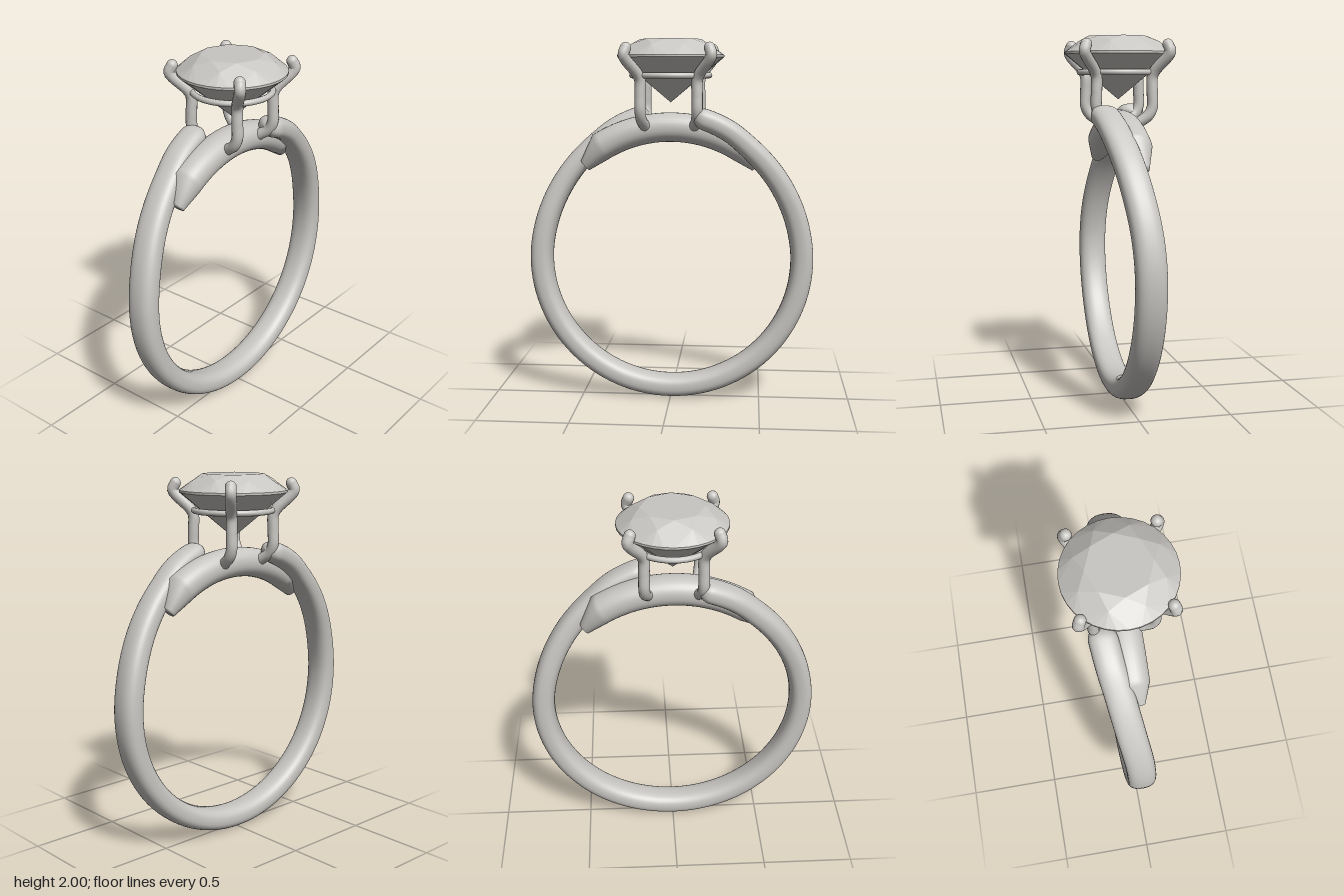
import * as THREE from 'three';

const silver = new THREE.MeshStandardMaterial({ color: 0xc8c6c2 });
silver.name = 'silver';

const CENTRE_Y = 0.79;
const RADIUS = 0.7275;

function addMesh(group, geometry, name) {
  const mesh = new THREE.Mesh(geometry, silver);
  mesh.name = name;
  group.add(mesh);
  return mesh;
}

// Skin of rounded sections placed around the finger hole.
// Each section: angle in degrees from the top, radius, z, half height, half width.
function sweep(sections, power, sides = 32) {
  const positions = [];
  const index = [];
  const soft = (v) => Math.sign(v) * Math.pow(Math.abs(v), 2 / power);
  sections.forEach(({ angle, radius, z, high, wide }, i) => {
    const t = THREE.MathUtils.degToRad(angle);
    for (let j = 0; j < sides; j++) {
      const p = (j / sides) * Math.PI * 2;
      const r = radius + high * soft(Math.cos(p));
      positions.push(Math.sin(t) * r, CENTRE_Y + Math.cos(t) * r, z + wide * soft(Math.sin(p)));
      if (i < sections.length - 1) {
        const a = i * sides + j;
        const b = i * sides + ((j + 1) % sides);
        index.push(a, b, a + sides, b, b + sides, a + sides);
      }
    }
  });
  const geometry = new THREE.BufferGeometry();
  geometry.setAttribute('position', new THREE.Float32BufferAttribute(positions, 3));
  geometry.setIndex(index);
  geometry.computeVertexNormals();
  return geometry;
}

// Open band whose two ends rise and pass each other to the front and back
function bandGeometry() {
  // angle, lift off the circle, z
  const half = [
    [9, 0.085, 0.12], [24, 0.062, 0.098], [35, 0.035, 0.075], [55, 0.01, 0.04],
    [73, 0, 0.012], [90, 0, 0], [135, 0, 0],
  ];
  const keys = [
    ...half,
    [180, 0, 0],
    ...half.map(([a, lift, z]) => [360 - a, lift, -z]).reverse(),
  ];
  const curve = new THREE.CatmullRomCurve3(keys.map((k) => new THREE.Vector3(...k)));
  const sections = [];
  const steps = 196;
  for (let i = 0; i <= steps; i++) {
    const p = curve.getPoint(i / steps);
    const fromEnd = Math.max(0, Math.min(p.x - 9, 351 - p.x));
    const k = 1 - Math.min(1, fromEnd / 5);
    const round = Math.sqrt(Math.max(0, 1 - k * k)) + 0.001;
    sections.push({
      angle: p.x,
      radius: RADIUS + p.y,
      z: p.z,
      high: (0.0625 - 0.06 * p.y) * round,
      wide: (0.08 - 0.05 * p.y) * round,
    });
  }
  return sweep(sections, 2.5);
}

// Arched bridge under the setting, narrowing into the band at both ends
function bridgeGeometry() {
  const sections = [];
  const tip = (side, scale) => ({
    angle: side * 42, radius: 0.705, z: -side * 0.02, high: 0.035 * scale, wide: 0.035 * scale,
  });
  sections.push(tip(-1, 0.01), tip(-1, 1));
  for (let a = -32; a <= 32; a += 2) {
    sections.push({ angle: a, radius: 0.735, z: 0, high: 0.08, wide: 0.09 });
  }
  sections.push(tip(1, 1), tip(1, 0.01));
  return sweep(sections, 2.2);
}

// Round brilliant cut with flat facets
function gemGeometry() {
  const positions = [];
  const tri = (...points) => points.forEach((p) => positions.push(p.x, p.y, p.z));
  const at = (radius, turn, y) => {
    const a = turn * Math.PI * 2;
    return new THREE.Vector3(Math.sin(a) * radius, y, Math.cos(a) * radius);
  };
  const table = (k) => at(0.165, k / 8, 2);
  const star = (k) => at(0.225, (k + 0.5) / 8, 1.971);
  const upper = (i) => at(0.29, i / 32, 1.915);
  const lower = (i) => at(0.29, i / 32, 1.903);
  const middle = at(0, 0, 2);
  const point = at(0, 0, 1.66);
  for (let k = 0; k < 8; k++) {
    tri(middle, table(k), table(k + 1));
    tri(table(k), star(k), table(k + 1));
    tri(table(k), star(k - 1), upper(4 * k));
    tri(table(k), upper(4 * k), star(k));
    for (let i = 4 * k; i < 4 * k + 4; i++) {
      tri(star(k), upper(i), upper(i + 1));
      tri(lower(i), lower(i + 1), upper(i + 1));
      tri(lower(i), upper(i + 1), upper(i));
      tri(point, lower(i + 1), lower(i));
    }
  }
  const geometry = new THREE.BufferGeometry();
  geometry.setAttribute('position', new THREE.Float32BufferAttribute(positions, 3));
  geometry.computeVertexNormals();
  return geometry;
}

// Claw prong: foot on the band, upright leg, flare, and a tip over the gem edge
function prong(sx, sz) {
  const group = new THREE.Group();
  group.name = 'prong';
  const points = [
    [0.135, 1.535, 0.075], [0.149, 1.575, 0.13], [0.152, 1.62, 0.152], [0.152, 1.7, 0.152],
    [0.152, 1.78, 0.152], [0.165, 1.815, 0.165], [0.22, 1.89, 0.22], [0.23, 1.915, 0.23],
    [0.219, 1.95, 0.219],
  ].map(([x, y, z]) => new THREE.Vector3(x * sx, y, z * sz));
  const curve = new THREE.CatmullRomCurve3(points);
  addMesh(group, new THREE.TubeGeometry(curve, 48, 0.03, 14), 'prongStem');
  [points[0], points[points.length - 1]].forEach((p, i) => {
    addMesh(group, new THREE.SphereGeometry(0.03, 14, 10), i ? 'prongTip' : 'prongFoot')
      .position.copy(p);
  });
  return group;
}

export function createModel() {
  const model = new THREE.Group();
  model.name = 'ring';
  addMesh(model, bandGeometry(), 'band');
  addMesh(model, bridgeGeometry(), 'bridge');
  addMesh(model, gemGeometry(), 'gem');

  // Thin gallery hoop that ties the prongs together
  const hoop = addMesh(model, new THREE.TorusGeometry(0.21, 0.016, 12, 64), 'galleryHoop');
  hoop.rotation.x = Math.PI / 2;
  hoop.position.y = 1.806;

  for (const sx of [-1, 1]) {
    for (const sz of [-1, 1]) model.add(prong(sx, sz));
  }
  return model;
}
